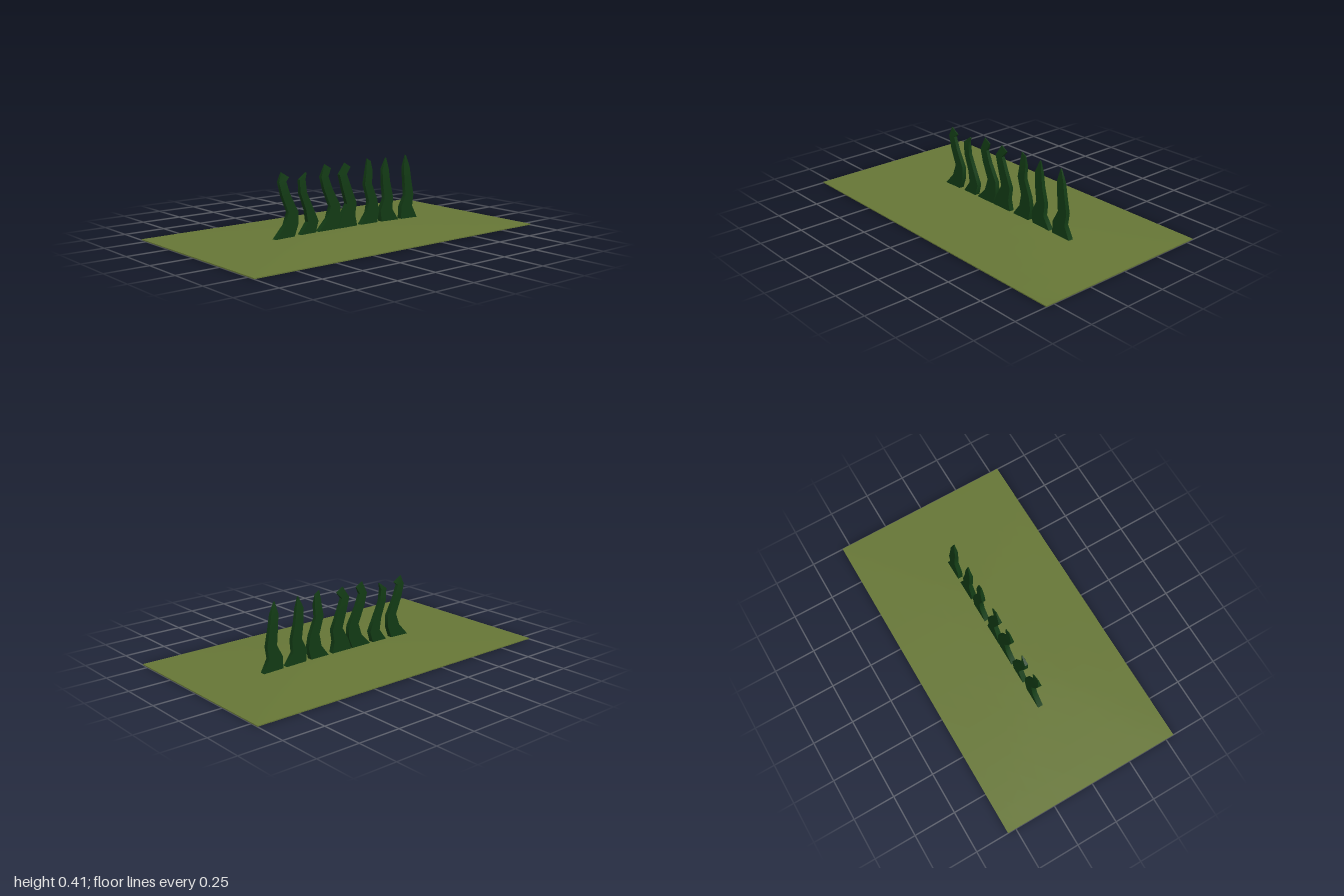
import * as THREE from 'three';
import { toCreasedNormals } from 'three/addons/utils/BufferGeometryUtils.js';

const groundMaterial = new THREE.MeshStandardMaterial({ color: 0x667636 });
const weedMaterial = new THREE.MeshStandardMaterial({ color: 0x123a14 });

// Thin slab whose top swells gently towards the middle
function createGround() {
  const geometry = new THREE.BoxGeometry(2, 0.006, 1.1, 16, 1, 10);
  geometry.translate(0, 0.003, 0);
  const p = geometry.attributes.position;
  for (let i = 0; i < p.count; i++) {
    if (p.getY(i) < 0.003) continue;
    const dx = (1 - Math.abs(p.getX(i))) / 0.75;
    const dz = 1.1 - Math.abs(p.getZ(i)) / 0.5;
    p.setY(i, 0.006 + 0.018 * Math.min(dx, dz, 1));
  }
  const mesh = new THREE.Mesh(toCreasedNormals(geometry, 0.5), groundMaterial);
  mesh.name = 'ground';
  return mesh;
}

// Heights and widths shared by all blades, from the root up
const heights = [0.015, 0.09, 0.16, 0.26, 0.335];
const widths = [0.13, 0.09, 0.065, 0.055, 0.048];

// Tapering box bent along a wavy centre line, with a slanted tip
function createBlade({ centres, scale, tipY, tipWidth }) {
  const last = heights.length;
  const geometry = new THREE.BoxGeometry(1, last, 1, 1, last, 1);
  const p = geometry.attributes.position;
  for (let i = 0; i < p.count; i++) {
    const level = Math.round(p.getY(i) + last / 2);
    const side = p.getX(i);
    const isTip = level === last;
    const width = isTip ? tipWidth : widths[level] * scale;
    const depth = isTip ? 0.006 : 0.032 - 0.014 * (level / last);
    const y = isTip ? tipY - side * tipWidth * 0.6 : heights[level];
    p.setXYZ(i, centres[level] + side * width, y, -0.022 + p.getZ(i) * depth);
  }
  return new THREE.Mesh(toCreasedNormals(geometry, 0.75), weedMaterial);
}

// Blades in order of x; centres run from root to tip
const blades = [
  { centres: [-0.412, -0.363, -0.35, -0.397, -0.42, -0.398], scale: 1, tipY: 0.372, tipWidth: 0.055 },
  { centres: [-0.252, -0.213, -0.235, -0.277, -0.283, -0.253], scale: 0.82, tipY: 0.37, tipWidth: 0.006 },
  { centres: [-0.112, -0.06, -0.05, -0.1, -0.125, -0.098], scale: 1.08, tipY: 0.392, tipWidth: 0.045 },
  { centres: [0.04, 0.046, 0.072, 0.035, 0.01, 0.048], scale: 1.12, tipY: 0.387, tipWidth: 0.045 },
  { centres: [0.2, 0.237, 0.237, 0.2, 0.21, 0.21], scale: 1, tipY: 0.402, tipWidth: 0.03 },
  { centres: [0.372, 0.342, 0.363, 0.343, 0.337, 0.345], scale: 1.04, tipY: 0.402, tipWidth: 0.006 },
  { centres: [0.527, 0.508, 0.532, 0.517, 0.508, 0.505], scale: 1, tipY: 0.405, tipWidth: 0.006 },
];

export function createModel() {
  const model = new THREE.Group();
  model.name = 'seaweedPatch';
  model.add(createGround());
  const weeds = new THREE.Group();
  weeds.name = 'seaweedBlades';
  blades.forEach((shape, i) => {
    const blade = createBlade(shape);
    blade.name = `blade${i + 1}`;
    weeds.add(blade);
  });
  model.add(weeds);
  return model;
}
